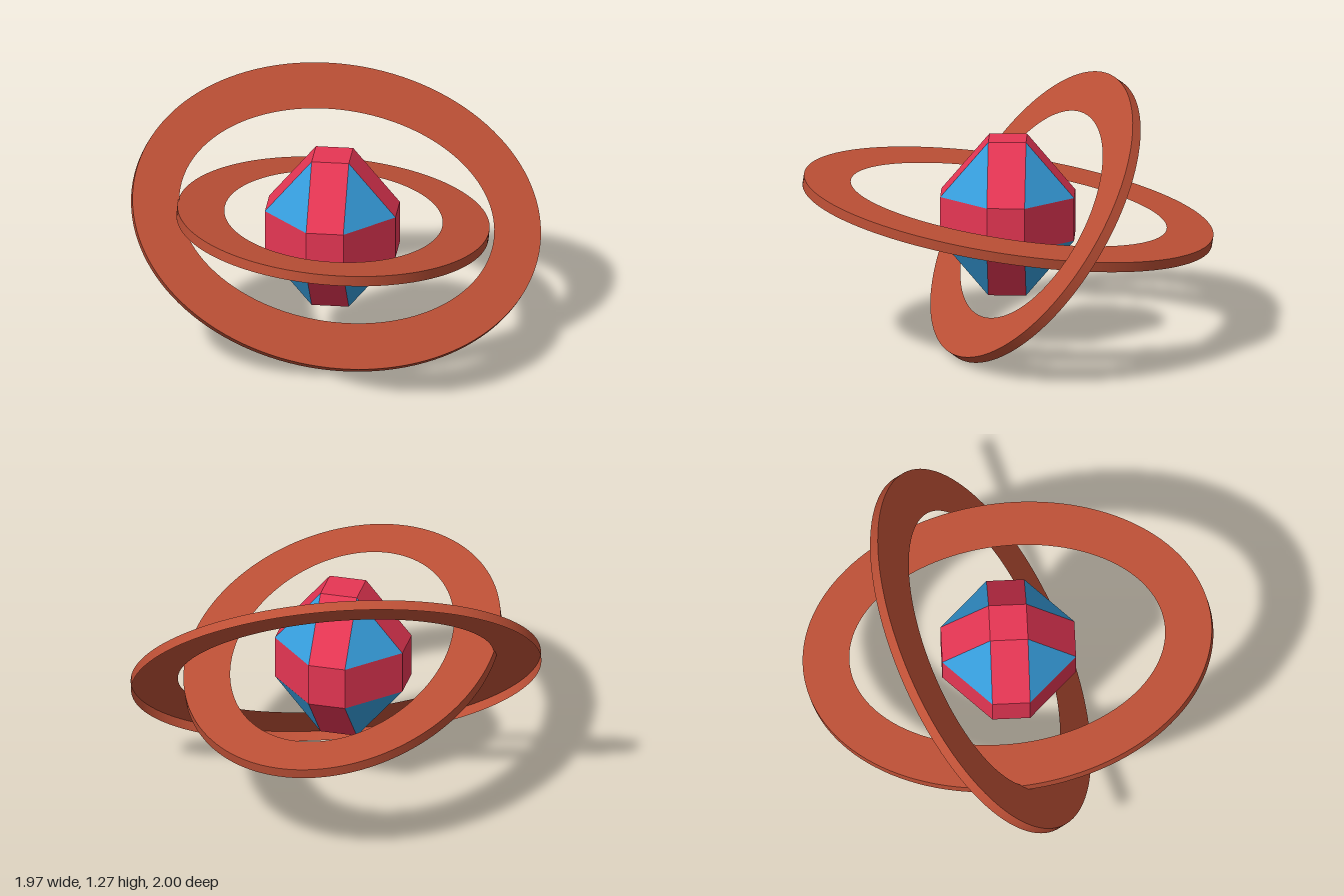
import * as THREE from 'three';

const flat = (name, color, side = THREE.FrontSide) => {
  const m = new THREE.MeshStandardMaterial({ color, side });
  m.name = name;
  return m;
};

// Oval ring: a thin flat face with an open wall hanging from its outer edge.
// u is the direction of its long axis, n its facing direction.
function makeRing(name, material, center, u, n) {
  const rx = 1.008, ry = 0.76, depth = 0.05, segments = 128;
  const shape = new THREE.Shape().absellipse(0, 0, rx, ry, 0, Math.PI * 2);
  shape.holes.push(new THREE.Path().absellipse(0, 0, 0.778, 0.53, 0, Math.PI * 2, true));
  const face = new THREE.Mesh(new THREE.ShapeGeometry(shape, segments / 2), material);
  face.name = name + 'Face';

  const wallGeo = new THREE.CylinderGeometry(1, 1, depth, segments, 1, true);
  wallGeo.rotateX(Math.PI / 2).scale(rx, ry, 1).translate(0, 0, -depth / 2);
  const wall = new THREE.Mesh(wallGeo, material);
  wall.name = name + 'Wall';

  const ring = new THREE.Group();
  ring.name = name;
  ring.add(face, wall);
  const zAxis = new THREE.Vector3(...n).normalize();
  const yAxis = new THREE.Vector3().crossVectors(zAxis, new THREE.Vector3(...u)).normalize();
  const xAxis = new THREE.Vector3().crossVectors(yAxis, zAxis);
  ring.quaternion.setFromRotationMatrix(new THREE.Matrix4().makeBasis(xAxis, yAxis, zAxis));
  ring.position.set(...center);
  return ring;
}

// Faceted geometry from convex faces around the origin, each turned outward
function facets(faces) {
  const pos = [];
  for (const f of faces) {
    const normal = f[1].clone().sub(f[0]).cross(f[2].clone().sub(f[0]));
    const face = normal.dot(f[0]) < 0 ? [...f].reverse() : f;
    for (let i = 1; i < face.length - 1; i++) {
      for (const p of [face[0], face[i], face[i + 1]]) pos.push(p.x, p.y, p.z);
    }
  }
  const geo = new THREE.BufferGeometry();
  geo.setAttribute('position', new THREE.Float32BufferAttribute(pos, 3));
  geo.computeVertexNormals();
  return geo;
}

// Stretched gem: square caps, edge panels between them and triangular corners
function makeGem(red, blue) {
  const long = [0.32, 0.383, 0.326], short = [0.091, 0.107, 0.092];
  const corner = (k, s) => new THREE.Vector3(...s.map((v, i) => v * (i === k ? long[i] : short[i])));
  const signs = [-1, 1];
  const panels = [], corners = [];
  for (let a = 0; a < 3; a++) {
    const b = (a + 1) % 3, c = (a + 2) % 3;
    const at = (k, sa, sb, sc) => {
      const s = [];
      s[a] = sa; s[b] = sb; s[c] = sc;
      return corner(k, s);
    };
    for (const sa of signs) {
      panels.push([at(a, sa, -1, -1), at(a, sa, 1, -1), at(a, sa, 1, 1), at(a, sa, -1, 1)]);
      for (const sb of signs) {
        panels.push([at(a, sa, sb, -1), at(a, sa, sb, 1), at(b, sa, sb, 1), at(b, sa, sb, -1)]);
      }
    }
  }
  for (const x of signs) for (const y of signs) for (const z of signs) {
    corners.push([0, 1, 2].map(k => corner(k, [x, y, z])));
  }
  const gem = new THREE.Group();
  gem.name = 'gem';
  const panelMesh = new THREE.Mesh(facets(panels), red);
  panelMesh.name = 'gemPanels';
  const cornerMesh = new THREE.Mesh(facets(corners), blue);
  cornerMesh.name = 'gemCorners';
  gem.add(panelMesh, cornerMesh);
  gem.position.set(-0.003, 0.639, 0.002);
  return gem;
}

export function createModel() {
  const rust = flat('rust', 0xbd5036, THREE.DoubleSide);
  const red = flat('red', 0xe63654);
  const blue = flat('blue', 0x369ddc);
  const model = new THREE.Group();
  model.name = 'ringedGem';
  model.add(
    makeGem(red, blue),
    makeRing('steepRing', rust, [0.005, 0.643, -0.114], [0.973, -0.18, -0.155], [0.235, 0.603, 0.762]),
    makeRing('levelRing', rust, [0.002, 0.69, -0.003], [0, 0.148, 0.989], [0.08, 1, -0.15])
  );
  return model;
}
